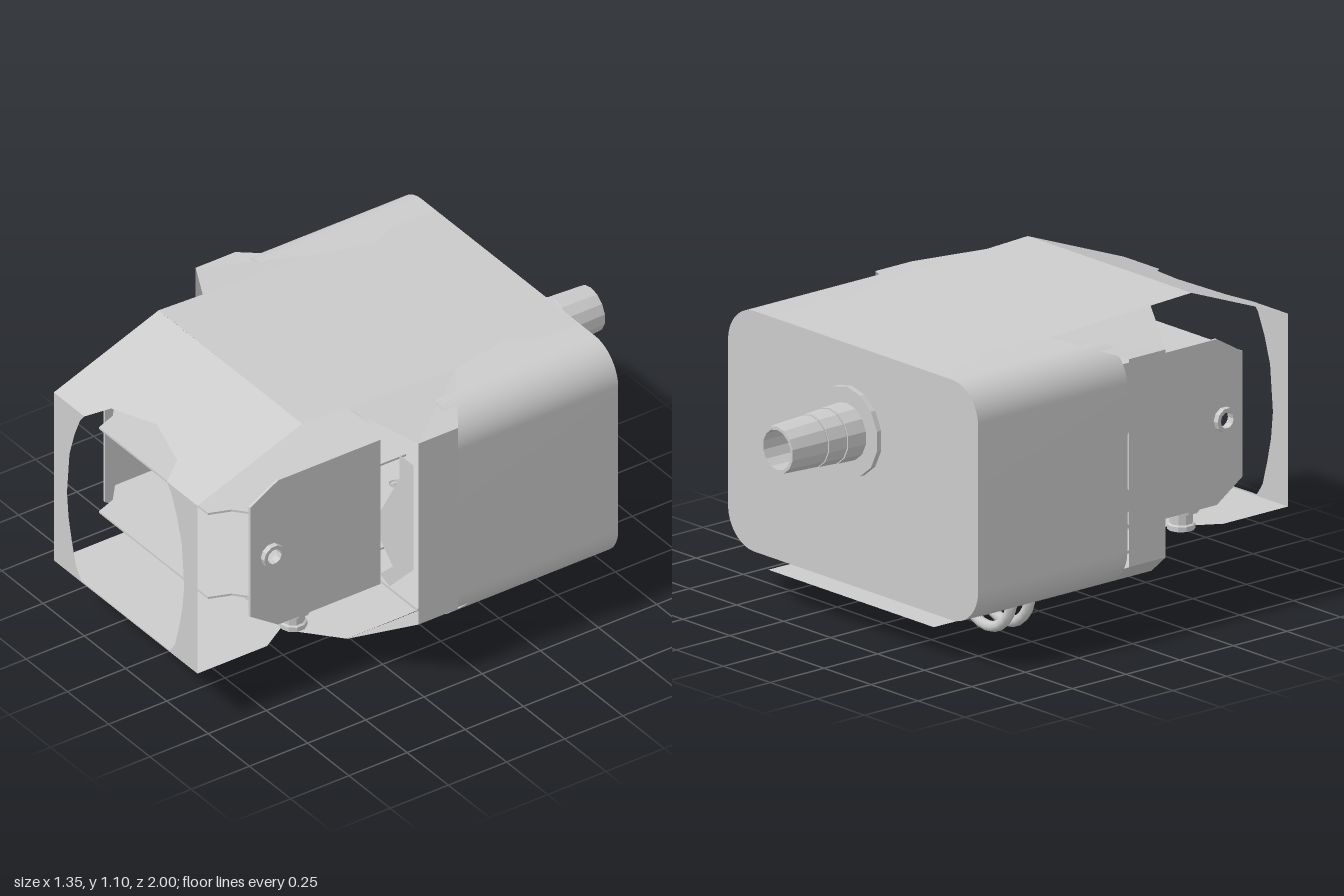
import * as THREE from 'three';
import { toCreasedNormals } from 'three/addons/utils/BufferGeometryUtils.js';

const grey = new THREE.MeshStandardMaterial({ color: 0xcccccc, side: THREE.DoubleSide });

function add(parent, name, geometry) {
  const mesh = new THREE.Mesh(geometry, grey);
  mesh.name = name;
  parent.add(mesh);
  return mesh;
}

const outline = (pts) => new THREE.Shape(pts.map(([a, b]) => new THREE.Vector2(a, b)));

// Right half outline (x >= 0) completed with its mirror image
const mirrored = (half) => [...half, ...half.filter((p) => p[0] > 0).reverse().map(([x, v]) => [-x, v])];

// Thin planar sheet: a 2D outline placed in space by a rule
function sheet(parent, name, pts, place) {
  const geo = new THREE.ShapeGeometry(outline(pts)).toNonIndexed();
  const pos = geo.attributes.position;
  for (let i = 0; i < pos.count; i++) pos.setXYZ(i, ...place(pos.getX(i), pos.getY(i)));
  geo.computeVertexNormals();
  return add(parent, name, geo);
}

// Plate cut from a shape, extruded along +z
const plate = (shape, depth, curveSegments = 8) =>
  new THREE.ExtrudeGeometry(shape, { depth, bevelEnabled: false, curveSegments });

function roundedRect(Type, w, y0, y1, r) {
  const s = new Type();
  s.moveTo(w, y0 + r);
  s.lineTo(w, y1 - r);
  s.absarc(w - r, y1 - r, r, 0, Math.PI / 2);
  s.absarc(-w + r, y1 - r, r, Math.PI / 2, Math.PI);
  s.absarc(-w + r, y0 + r, r, Math.PI, Math.PI * 1.5);
  s.absarc(w - r, y0 + r, r, Math.PI * 1.5, Math.PI * 2);
  return s;
}

function buildHousing(root) {
  const g = new THREE.Group();
  g.name = 'housing';
  root.add(g);
  // Thin rounded wall, open at the front
  const wall = roundedRect(THREE.Shape, 0.665, 0.17, 1.055, 0.14);
  wall.holes.push(roundedRect(THREE.Path, 0.657, 0.178, 1.047, 0.132));
  const wallGeo = plate(wall, 0.69);
  add(g, 'housingWall', toCreasedNormals(wallGeo, 0.6)).position.z = -0.64;
  add(g, 'backPanel', plate(roundedRect(THREE.Shape, 0.665, 0.17, 1.055, 0.14), 0.01)).position.z = -0.645;

  // Rear hose fitting with a washer and stepped rings
  const profile = [
    [0.09, 0.64], [0.09, 0.655], [0.165, 0.655], [0.165, 0.675], [0.105, 0.675], [0.102, 0.755], [0.096, 0.755],
    [0.1, 0.76], [0.096, 0.84], [0.091, 0.84], [0.094, 0.845], [0.088, 0.98], [0.086, 1], [0.074, 1], [0.08, 0.69], [0, 0.69],
  ].map(([r, d]) => new THREE.Vector2(r, d));
  const fitting = add(g, 'hoseFitting', toCreasedNormals(new THREE.LatheGeometry(profile, 14), 0.4));
  fitting.rotation.x = -Math.PI / 2;
  fitting.position.y = 0.745;
}

function buildCover(root) {
  const g = new THREE.Group();
  g.name = 'cover';
  root.add(g);
  const topY = (z) => 1.056 + (z + 0.64) * 0.038;

  // Roof, falling gently to the rear
  const roof = [[0, 0.55], [0.435, 0.55], [0.435, 0.36], [0.435, -0.11], [0.38, -0.35], [0.435, -0.45], [0.435, -0.64], [0, -0.64]];
  sheet(g, 'roof', mirrored(roof), (x, z) => [x, topY(z), z]);

  // Sloped visor with the top of the front opening cut out
  const visor = [[0, 0.865], [0.2, 0.92], [0.25, 1], [0.435, 1], [0.435, 0.55], [0, 0.55]];
  sheet(g, 'visor', mirrored(visor), (x, z) => [x, 0.93 + (1 - z) * 0.38, z]);

  // Front frame around the rounded opening
  const frame = [
    [0, 0.225], [0.27, 0.226], [0.3, 0.27], [0.325, 0.36], [0.345, 0.45], [0.355, 0.55],
    [0.34, 0.72], [0.31, 0.82], [0.275, 0.9], [0.25, 0.93], [0.435, 0.93], [0.435, 0.22], [0, 0.22],
  ];
  sheet(g, 'frontFrame', mirrored(frame), (x, y) => [x, y, 1]);

  // Front floor, step and lower floor
  const frontFloor = [[0, 1], [0.435, 1], [0.435, 0.7], [0.3, 0.48], [0, 0.48]];
  sheet(g, 'frontFloor', mirrored(frontFloor), (x, z) => [x, 0.22, z]);
  sheet(g, 'floorStep', [[-0.3, 0.12], [0.3, 0.12], [0.3, 0.22], [-0.3, 0.22]], (x, y) => [x, y, 0.48]);
  const floor = [[0, 0.48], [0.3, 0.48], [0.44, 0.36], [0.44, -0.655], [0, -0.655]];
  sheet(g, 'lowerFloor', mirrored(floor), (x, z) => [x, 0.12 - (z < -0.6 ? -0.006 : 0), z]);

  // Side band with sloping wings to roof and floor
  for (const s of [1, -1]) {
    sheet(g, 'sideBand', [[0.05, 0.255], [0.22, 0.255], [0.22, 1.02], [0.05, 1.02]], (z, y) => [s * 0.675, y, z]);
    sheet(g, 'upperWing', [[0.435, 0.36], [0.675, 0.22], [0.675, 0.05], [0.435, -0.11]],
      (x, z) => [s * x, x > 0.5 ? 1.02 : topY(z), z]);
    sheet(g, 'lowerWing', [[0.44, 0.36], [0.675, 0.22], [0.675, 0.05], [0.44, -0.46]],
      (x, z) => [s * x, x > 0.5 ? 0.255 : 0.12, z]);
  }
}

function buildBracket(root, s) {
  const g = new THREE.Group();
  g.name = s > 0 ? 'leftBracket' : 'rightBracket';
  root.add(g);

  // Chamfered cheek plate with a bored hole, outline in (-z, y)
  const cheek = outline([[-0.22, 0.3], [-0.66, 0.3], [-0.78, 0.38], [-0.78, 0.84], [-0.66, 0.91], [-0.22, 0.91]]);
  const bore = () => new THREE.Path().absarc(-0.69, 0.61, 0.03, 0, Math.PI * 2, true);
  cheek.holes.push(bore());
  const cheekMesh = add(g, 'cheekPlate', plate(cheek, 0.01));
  const ring = new THREE.Shape().absarc(-0.69, 0.61, 0.045, 0, Math.PI * 2, false);
  ring.holes.push(bore());
  const ringMesh = add(g, 'boreRing', plate(ring, 0.024, 5));
  for (const m of [cheekMesh, ringMesh]) m.rotation.y = Math.PI / 2;
  cheekMesh.position.x = s > 0 ? 0.435 : -0.445;
  ringMesh.position.x = s > 0 ? 0.442 : -0.466;

  // Outer mounting flange set in the band
  const flange = [[0.44, 0.6], [0.56, 0.81], [0.56, 0.91], [0.645, 0.91], [0.645, 0.47], [0.5, 0.32], [0.44, 0.34], [0.52, 0.415], [0.44, 0.49]];
  sheet(g, 'mountingFlange', flange, (x, y) => [s * x, y, 0.22]);

  // Foot plate, ledge and hollow stud below
  add(g, 'footPlate', new THREE.BoxGeometry(0.2, 0.01, 0.44)).position.set(s * 0.335, 0.305, 0.44);
  add(g, 'innerLedge', new THREE.BoxGeometry(0.42, 0.01, 0.17)).position.set(s * 0.45, 0.305, 0.13);
  const stud = [[0.03, 0.295], [0.03, 0.222], [0.05, 0.222], [0.05, 0.24], [0.042, 0.245], [0.042, 0.285], [0.065, 0.288], [0.065, 0.3]]
    .map(([r, y]) => new THREE.Vector2(r, y));
  const studGeo = new THREE.LatheGeometry(stud, 10).toNonIndexed();
  studGeo.computeVertexNormals();
  add(g, 'footStud', studGeo).position.set(s * 0.38, 0, 0.55);
}

export function createModel() {
  const root = new THREE.Group();
  root.name = 'machineHousing';
  buildHousing(root);
  buildCover(root);
  for (const s of [1, -1]) buildBracket(root, s);

  // Two shelves between the brackets, with tapered front corners
  const shelf = [[0, 0.88], [0.33, 0.88], [0.36, 0.8], [0.43, 0.74], [0.43, 0.1], [0, 0.1]];
  for (const y of [0.435, 0.79]) {
    const m = add(root, 'shelf', plate(outline(mirrored(shelf)), 0.008));
    m.rotation.x = Math.PI / 2;
    m.position.y = y + 0.004;
  }

  // Pair of hanging loops under the floor
  for (const z of [-0.2, -0.285]) {
    const loop = add(root, 'hangingLoop', new THREE.TorusGeometry(0.128, 0.02, 8, 14, Math.PI * 1.2));
    loop.rotation.z = Math.PI * 0.9;
    loop.position.set(-0.305, 0.15, z);
  }
  return root;
}
